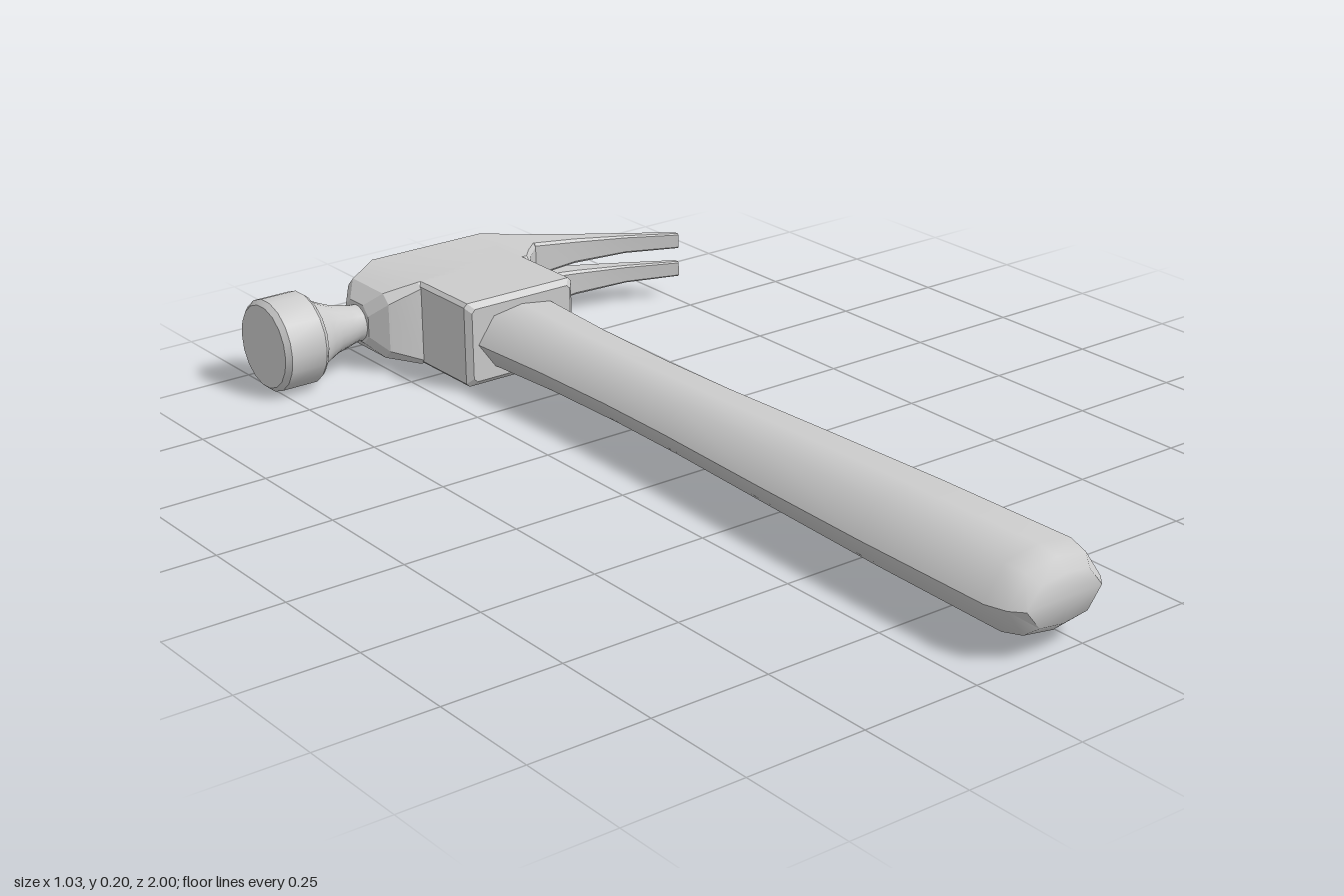
import * as THREE from 'three';
import { toCreasedNormals } from 'three/addons/utils/BufferGeometryUtils.js';

const CY = 0.103; // height of the tool's middle plane

// Skin a list of rings (counter-clockwise about the loft direction), with end caps
function loft(rings, crease) {
  const n = rings[0].length, pos = [], idx = [];
  rings.forEach(r => r.forEach(p => pos.push(...p)));
  for (let s = 0; s < rings.length - 1; s++) {
    for (let i = 0; i < n; i++) {
      const a = s * n + i, b = s * n + (i + 1) % n;
      idx.push(a, b, b + n, a, b + n, a + n);
    }
  }
  const last = (rings.length - 1) * n;
  for (let i = 1; i < n - 1; i++) {
    idx.push(0, i + 1, i, last, last + i, last + i + 1);
  }
  const g = new THREE.BufferGeometry();
  g.setAttribute('position', new THREE.Float32BufferAttribute(pos, 3));
  g.setIndex(idx);
  return toCreasedNormals(g, crease);
}

// Rectangle with chamfered corners, counter-clockwise
function chamferRect(u0, u1, v0, v1, c) {
  return [[u1, v0 + c], [u1, v1 - c], [u1 - c, v1], [u0 + c, v1],
    [u0, v1 - c], [u0, v0 + c], [u0 + c, v0], [u1 - c, v0]];
}

// Section across x: heights y0..y1 about the middle plane, depths z0..z1
const sectionX = (x, y0, y1, z0, z1, c) =>
  chamferRect(CY + y0, CY + y1, z0, z1, c).map(([y, z]) => [x, y, z]);

export function createModel() {
  const group = new THREE.Group();
  const material = new THREE.MeshStandardMaterial({ color: 0xcccccc });
  const add = (name, geometry) => {
    const mesh = new THREE.Mesh(geometry, material);
    mesh.name = name;
    group.add(mesh);
  };

  // Handle: eight-sided section with a sharp side edge, waisted near the head
  const outline = [[1, 0], [0.64, 0.84], [0, 1], [-0.64, 0.84],
    [-1, 0], [-0.64, -0.84], [0, -1], [0.64, -0.84]];
  const handle = [ // z, half width, half thickness
    [-0.75, 0.116, 0.068], [-0.62, 0.113, 0.067], [-0.42, 0.102, 0.062],
    [-0.2, 0.098, 0.061], [0, 0.101, 0.063], [0.3, 0.113, 0.069],
    [0.6, 0.122, 0.075], [0.93, 0.125, 0.079], [0.975, 0.112, 0.07], [1, 0.09, 0.048],
  ].map(([z, w, t]) => outline.map(([x, y]) => [-0.049 + x * w, CY + y * t, z]));
  add('handle', loft(handle, 0.9));

  // Sleeve that grips the handle
  const sleeve = [[-0.9, 0], [-0.632, 0], [-0.62, 0.012]].map(([z, inset]) =>
    chamferRect(-0.188 + inset, 0.086 - inset, CY - 0.093 + inset, CY + 0.093 - inset, 0.008)
      .map(([x, y]) => [x, y, z]));
  add('sleeve', loft(sleeve, 0.4));

  // Head block, tapering toward the neck and the claw
  add('headBlock', loft([ // x, half height, z range, chamfer
    [-0.285, 0.043, -0.945, -0.855, 0.02], [-0.255, 0.073, -0.98, -0.82, 0.02],
    [-0.188, 0.093, -1, -0.795, 0.012], [0.09, 0.093, -1, -0.79, 0.012],
    [0.125, 0.087, -0.995, -0.835, 0.01], [0.175, 0.078, -0.977, -0.89, 0.008],
    [0.185, 0.076, -0.974, -0.889, 0.008],
  ].map(([x, h, z0, z1, c]) => sectionX(x, -h, h, z0, z1, c)), 0.4));

  // Two claw prongs, mirrored about the middle plane
  for (const side of [1, -1]) {
    const rings = [ // x, inner and outer height, z range, chamfer
      [0.175, 0, 0.078, -0.977, -0.89, 0.006], [0.28, 0.009, 0.066, -0.939, -0.885, 0.006],
      [0.4, 0.015, 0.056, -0.888, -0.857, 0.004], [0.512, 0.016, 0.051, -0.824, -0.808, 0.003],
    ].map(([x, a, b, z0, z1, c]) =>
      sectionX(x, Math.min(side * a, side * b), Math.max(side * a, side * b), z0, z1, c));
    add(side > 0 ? 'upperProng' : 'lowerProng', loft(rings, 0.4));
  }

  // Striking face and flared neck, turned about the x axis
  const profile = [[0, -0.515], [0.09, -0.515], [0.1, -0.504], [0.1, -0.421], [0.092, -0.411],
    [0.081, -0.407], [0.065, -0.378], [0.053, -0.35], [0.046, -0.32], [0.04, -0.298],
    [0.04, -0.285], [0.046, -0.265]].map(([r, x]) => new THREE.Vector2(r, x));
  const poll = new THREE.LatheGeometry(profile, 18);
  poll.rotateZ(-Math.PI / 2);
  poll.translate(0, 0.1, -0.9);
  add('strikingFace', toCreasedNormals(poll, 0.6));

  return group;
}
